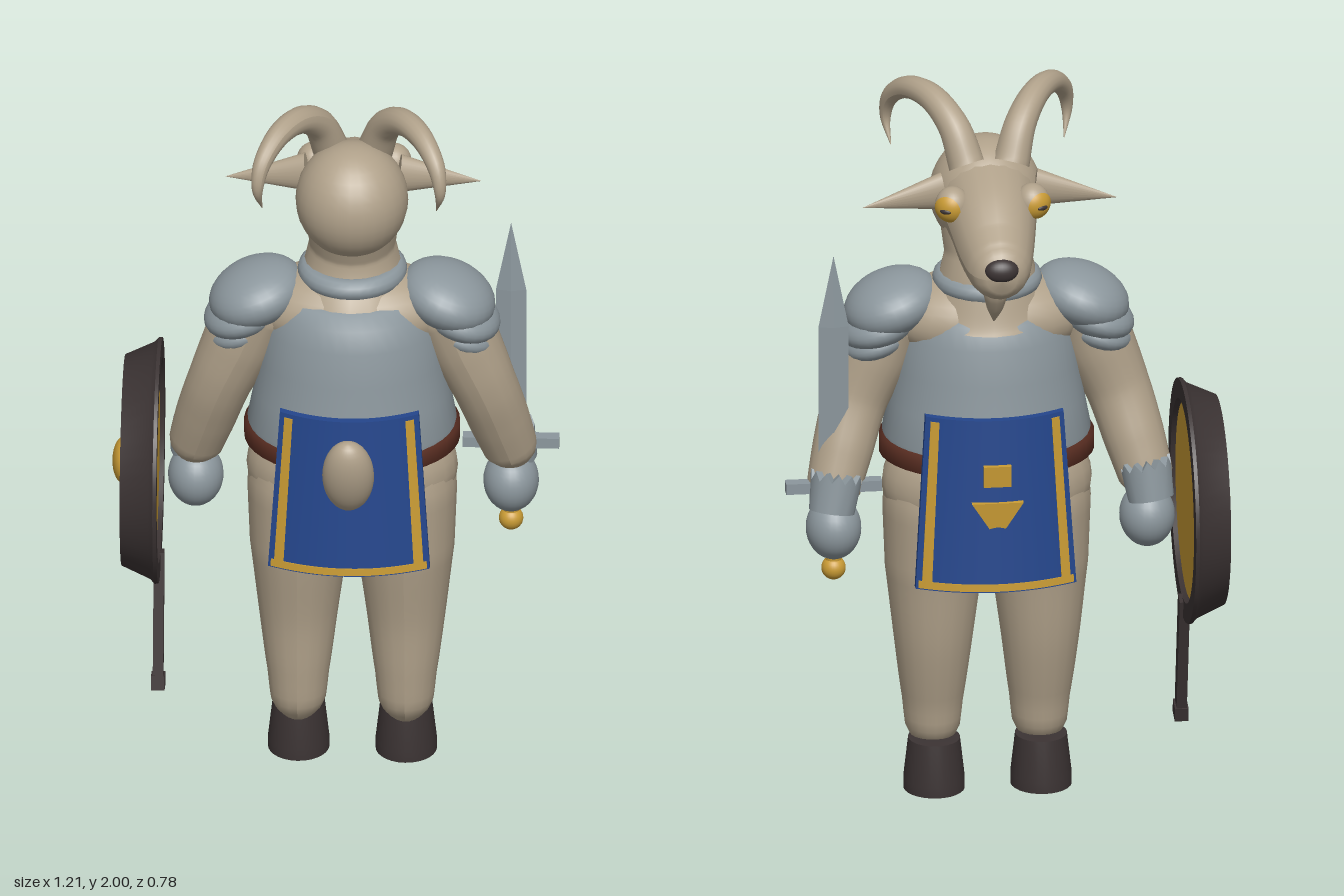
import * as THREE from 'three';
import { toCreasedNormals } from 'three/addons/utils/BufferGeometryUtils.js';

const mat = (name, color, side = THREE.FrontSide) => {
  const m = new THREE.MeshStandardMaterial({ color, side });
  m.name = name;
  return m;
};

export function createModel() {
  const model = new THREE.Group();
  model.name = 'armouredGoat';
  const body = new THREE.Group(); // everything symmetrical sits on this axis
  body.name = 'body';
  body.position.x = 0.045;
  model.add(body);

  const fur = mat('fur', 0xb0a18a);
  const steel = mat('steel', 0x8c979d, THREE.DoubleSide);
  const blue = mat('blueCloth', 0x24468c);
  const gold = mat('gold', 0xc99b34);
  const leather = mat('leather', 0x5a2e22);
  const dark = mat('darkHorn', 0x3b3333);

  const add = (name, geo, material, pos = [0, 0, 0], rot = [0, 0, 0], scale = [1, 1, 1], parent = body) => {
    const m = new THREE.Mesh(geo, material);
    m.name = name;
    m.position.set(...pos);
    m.rotation.set(...rot);
    m.scale.set(...scale);
    parent.add(m);
    return m;
  };
  const ball = new THREE.SphereGeometry(1, 28, 18);
  const blob = (name, material, pos, scale, rot) => add(name, ball, material, pos, rot, scale);

  // Tube through [x, y, z, radius] points
  const taper = (pts, rows = 32, sides = 20) => {
    const curve = new THREE.CatmullRomCurve3(pts.map(p => new THREE.Vector3(p[0], p[1], p[2])));
    const geo = new THREE.TubeGeometry(curve, rows, 1, sides);
    const pos = geo.attributes.position, v = new THREE.Vector3();
    for (let i = 0; i <= rows; i++) {
      const u = i / rows, c = curve.getPointAt(u);
      const t = curve.getUtoTmapping(u) * (pts.length - 1);
      const k = Math.min(Math.floor(t), pts.length - 2);
      const r = THREE.MathUtils.lerp(pts[k][3], pts[k + 1][3], t - k);
      for (let j = 0; j <= sides; j++) {
        const n = i * (sides + 1) + j;
        v.fromBufferAttribute(pos, n).sub(c).multiplyScalar(r).add(c);
        pos.setXYZ(n, v.x, v.y, v.z);
      }
    }
    geo.computeVertexNormals();
    return geo;
  };
  const lathe = (pts, seg = 40) => new THREE.LatheGeometry(pts.map(p => new THREE.Vector2(...p)), seg);

  // Torso, hips and neck
  blob('hips', fur, [0, 0.88, 0.03], [0.285, 0.2, 0.19]);
  blob('shoulders', fur, [0, 1.36, 0.03], [0.27, 0.13, 0.165]);
  add('neck', taper([[0, 1.38, 0.02, 0.18], [0, 1.47, 0.01, 0.135], [0, 1.55, 0.015, 0.117], [0, 1.66, 0.04, 0.13]]), fur);
  add('breastplate', lathe([[0.27, 0.98], [0.282, 1.03], [0.265, 1.12], [0.252, 1.22], [0.237, 1.32],
    [0.213, 1.38], [0.185, 1.415], [0.1, 1.43], [0, 1.43]]), steel, [0, 0, 0.04], [0, 0, 0], [1, 1, 0.87]);
  add('collar', new THREE.TorusGeometry(0.118, 0.03, 12, 36), steel, [0, 1.468, 0.02], [Math.PI / 2, 0, 0], [1, 1.05, 1]);
  add('belt', lathe([[0.27, 0.962], [0.291, 0.968], [0.291, 1.016], [0.27, 1.022]]), leather, [0, 0, 0.035], [0, 0, 0], [1, 1, 0.85]);

  // Head
  blob('skull', fur, [0, 1.7, 0.055], [0.152, 0.16, 0.155]);
  add('muzzle', taper([[0, 1.7, 0.03, 0.14], [0, 1.67, -0.1, 0.12], [0, 1.625, -0.2, 0.102], [0, 1.603, -0.27, 0.087],
    [0, 1.598, -0.31, 0.07], [0, 1.597, -0.335, 0.042], [0, 1.597, -0.345, 0.001]], 40), fur);
  blob('nose', dark, [0, 1.62, -0.325], [0.046, 0.033, 0.027], [0.3, 0, 0]);
  add('beard', taper([[0, 1.56, -0.2, 0.035], [0, 1.5, -0.185, 0.034], [0, 1.45, -0.165, 0.022], [0, 1.4, -0.14, 0.001]], 16, 12), fur);

  // Curved cloth plate: a = left edge, b = right edge (both -1..1), y range, along the panel's bow
  const cloth = (p, a, b, y0, y1, depth) => {
    const geo = new THREE.BoxGeometry(1, 1, depth, 20, 6, 1);
    const pos = geo.attributes.position;
    for (let i = 0; i < pos.count; i++) {
      const u = THREE.MathUtils.lerp(a, b, pos.getX(i) + 0.5);
      const y = THREE.MathUtils.lerp(y0, y1, pos.getY(i) + 0.5);
      const f = (p.top - y) / (p.top - p.bottom);
      pos.setXYZ(i, u * (0.187 + 0.031 * f), y, p.dir * (p.z + 0.032 * f - 0.055 * u * u) + pos.getZ(i));
    }
    geo.computeVertexNormals();
    return geo;
  };
  const panels = [{ name: 'backTabard', dir: 1, z: 0.288, top: 1.145, bottom: 0.69 },
    { name: 'frontTabard', dir: -1, z: 0.203, top: 1.14, bottom: 0.655 }];
  for (const p of panels) {
    add(p.name, cloth(p, -1, 1, p.bottom, p.top, 0.022), blue);
    add(p.name + 'Hem', cloth(p, -0.97, 0.97, p.bottom + 0.004, p.bottom + 0.024, 0.029), gold);
    for (const s of [-1, 1]) {
      add(p.name + 'Stripe', cloth(p, s * 0.87 - 0.06, s * 0.87 + 0.06, p.bottom + 0.005, p.top - 0.012, 0.029), gold);
    }
  }
  // Emblem on the front tabard
  add('emblemSquare', new THREE.BoxGeometry(0.075, 0.06, 0.022), gold, [0, 0.985, -0.222], [-0.06, 0, 0]);
  const tri = new THREE.Shape([[-0.07, 0], [0, -0.11], [0.07, 0]].map(q => new THREE.Vector2(...q)));
  add('emblemTriangle', new THREE.ExtrudeGeometry(tri, { depth: 0.02, bevelEnabled: false }), gold, [0, 0.91, -0.238], [-0.06, 0, 0]);

  blob('tail', fur, [0, 0.995, 0.322], [0.07, 0.122, 0.056], [0.3, 0, 0]);

  // Mirrored parts
  const toothed = new THREE.CylinderGeometry(0.07, 0.062, 0.11, 24);
  const tp = toothed.attributes.position;
  for (let i = 0; i < tp.count; i++) {
    if (tp.getY(i) <= 0) continue;
    const k = Math.round(Math.atan2(tp.getX(i), tp.getZ(i)) / (Math.PI / 12));
    if (k % 2) tp.setY(i, 0.03);
  }
  const cuffGeo = toCreasedNormals(toothed, 0.7);
  const hoofGeo = toCreasedNormals(lathe([[0, 0], [0.083, 0], [0.083, 0.03], [0.07, 0.145], [0, 0.15]], 28), 0.7);

  for (const s of [-1, 1]) {
    // Face details
    const eye = new THREE.Vector3(s * 0.108, 1.73, -0.105);
    blob('eyelid', fur, eye.toArray(), [0.047, 0.05, 0.047]);
    const look = new THREE.Vector3(s * 0.5, -0.1, -0.86).normalize();
    const iris = add('iris', new THREE.SphereGeometry(0.0505, 24, 10, 0, Math.PI * 2, 0, 0.85), gold, eye.toArray());
    iris.quaternion.setFromUnitVectors(new THREE.Vector3(0, 1, 0), look);
    blob('pupil', dark, eye.clone().addScaledVector(look, 0.048).toArray(), [0.016, 0.007, 0.006], [0, s * -0.53, 0]);
    const ear = add('ear', new THREE.ConeGeometry(1, 0.225, 24), fur, [s * 0.235, 1.722, -0.033], [0, 0, 0], [0.055, 1, 0.03]);
    ear.quaternion.setFromUnitVectors(new THREE.Vector3(0, 1, 0), new THREE.Vector3(s, -0.14, -0.1).normalize());
    add('horn', taper([[s * 0.06, 1.81, -0.025, 0.05], [s * 0.09, 1.905, 0.02, 0.043], [s * 0.14, 1.96, 0.1, 0.037],
      [s * 0.195, 1.958, 0.19, 0.031], [s * 0.236, 1.905, 0.26, 0.024], [s * 0.246, 1.84, 0.28, 0.015],
      [s * 0.235, 1.77, 0.247, 0.001]], 40, 16), fur);

    // Arm, gauntlet and shoulder armour
    add('arm', taper([[s * 0.19, 1.42, 0.03, 0.06], [s * 0.25, 1.37, 0.04, 0.105], [s * 0.305, 1.25, 0.04, 0.1],
      [s * 0.355, 1.13, 0.03, 0.088], [s * 0.395, 1.0, -0.01, 0.083], [s * 0.425, 0.89, -0.045, 0.073],
      [s * 0.43, 0.86, -0.05, 0.05]]), fur);
    blob('gauntlet', steel, [s * 0.425, 0.79, -0.055], [0.075, 0.088, 0.085]);
    add('cuff', cuffGeo, steel, [s * 0.425, 0.9, -0.073], [0.2, 0, s * 0.15]);
    blob('shoulderPlate', steel, [s * 0.258, 1.4, 0.035], [0.133, 0.083, 0.143], [0, 0, s * -0.35]);
    blob('upperLame', steel, [s * 0.29, 1.347, 0.035], [0.115, 0.06, 0.13], [0, 0, s * -0.35]);
    blob('lowerLame', steel, [s * 0.3, 1.3, 0.035], [0.098, 0.05, 0.112], [0, 0, s * -0.35]);

    // Leg and hoof
    add('leg', taper([[s * 0.14, 0.95, 0.03, 0.12], [s * 0.143, 0.83, 0.03, 0.14], [s * 0.143, 0.64, 0.03, 0.133],
      [s * 0.145, 0.44, 0.027, 0.108], [s * 0.145, 0.25, 0.04, 0.083], [s * 0.145, 0.16, 0.042, 0.073],
      [s * 0.145, 0.12, 0.042, 0.04]]), fur, [0, 0, 0], [0, 0, 0], [1, 1, 1.1]);
    add('hoof', hoofGeo, dark, [s * 0.145, 0, 0.01], [0, 0, 0], [1, 1, 1.1]);
  }

  // Sword in the left hand
  const sword = new THREE.Group();
  sword.name = 'sword';
  sword.position.set(0.47, 0, -0.055);
  model.add(sword);
  const part = (name, geo, m, pos, rot, scale) => add(name, geo, m, pos, rot, scale, sword);
  const edge = toCreasedNormals(new THREE.CylinderGeometry(1, 1, 0.48, 4), 0.3);
  part('blade', edge, steel, [0, 1.13, 0], [0, 0, 0], [0.041, 1, 0.01]);
  part('bladeTip', toCreasedNormals(new THREE.ConeGeometry(1, 0.205, 4), 0.3), steel, [0, 1.4725, 0], [0, 0, 0], [0.041, 1, 0.01]);
  part('crossguard', new THREE.BoxGeometry(0.26, 0.03, 0.036), steel, [0, 0.91, 0]);
  part('grip', new THREE.CylinderGeometry(0.02, 0.02, 0.2, 16), leather, [0, 0.8, 0]);
  part('pommelNeck', new THREE.CylinderGeometry(0.022, 0.022, 0.02, 16), gold, [0, 0.7, 0]);
  part('pommel', ball, gold, [0, 0.673, 0], [0, 0, 0], [0.033, 0.033, 0.033]);

  // Round shield at the right side
  const shield = new THREE.Group();
  shield.name = 'shield';
  shield.position.set(-0.475, 0.825, -0.06);
  shield.rotation.z = Math.PI / 2;
  model.add(shield);
  const bowl = lathe([[0, 0.02], [0.27, 0.02], [0.278, 0], [0.332, 0], [0.333, 0.01], [0.32, 0.022], [0.285, 0.1], [0, 0.102]], 48);
  add('shieldBowl', toCreasedNormals(bowl, 0.5), dark, [0, 0, 0], [0, 0, 0], [1, 1, 1], shield);
  add('shieldLining', new THREE.CylinderGeometry(0.266, 0.266, 0.008, 48), gold, [0, 0.016, 0], [0, 0, 0], [1, 1, 1], shield);
  add('shieldBoss', ball, gold, [0, 0.1, 0], [0, 0, 0], [0.063, 0.03, 0.063], shield);

  // Shaft hanging below the shield
  add('shaft', new THREE.BoxGeometry(0.028, 0.38, 0.045), dark, [-0.479, 0.36, -0.025], [-0.22, 0, 0], [1, 1, 1], model);
  add('shaftEnd', new THREE.BoxGeometry(0.037, 0.04, 0.052), dark, [-0.479, 0.19, 0.013], [-0.22, 0, 0], [1, 1, 1], model);

  return model;
}
